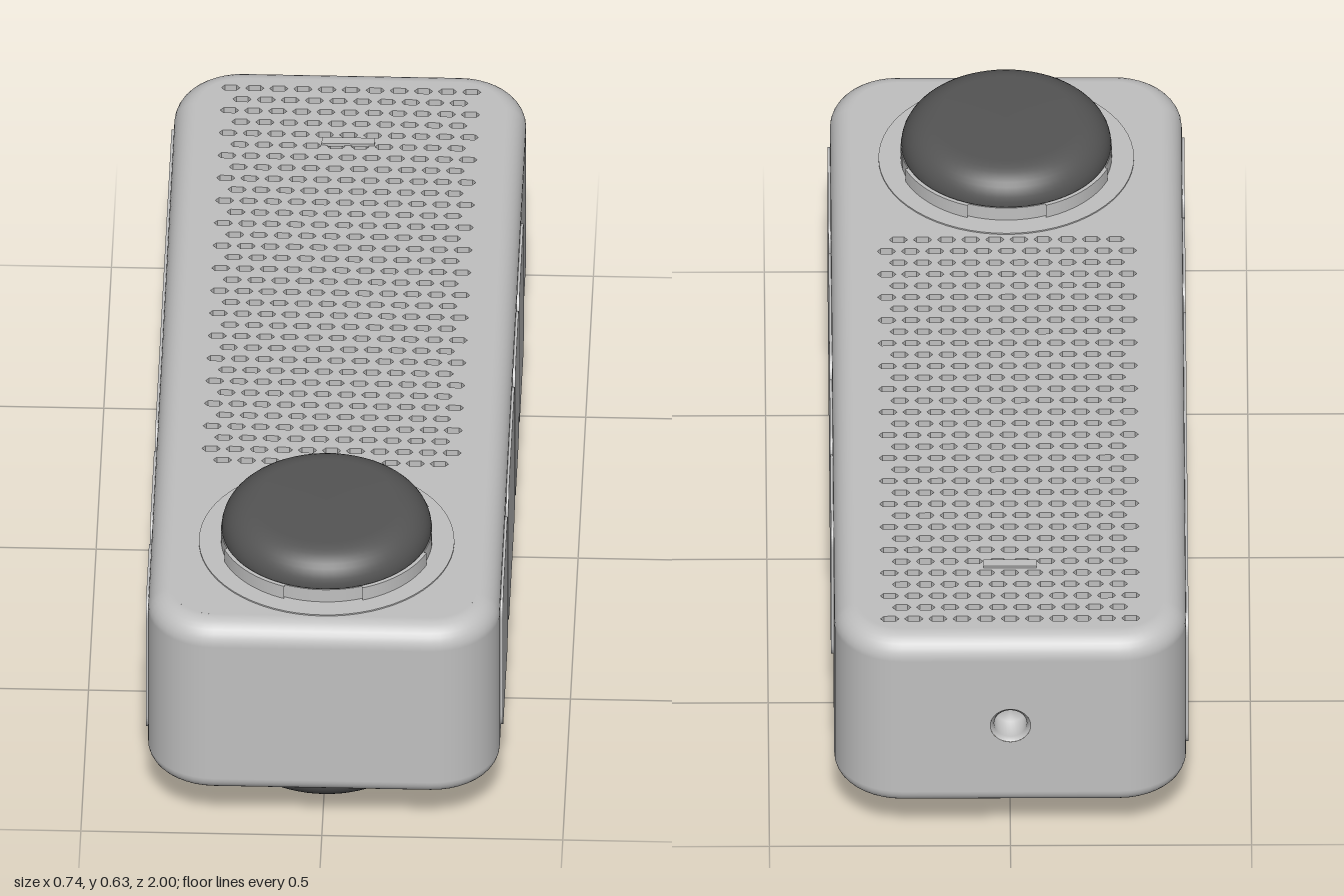
import * as THREE from 'three';

const W = 0.365, L = 1, R = 0.14;       // half width, half length, corner radius
const Y0 = 0.105, Y1 = 0.525;           // body bottom and top
const F0 = 0.035, F1 = 0.05;            // bottom and top edge fillets
const KNOB_Z = 0.685;

const mats = {
  shell: new THREE.MeshStandardMaterial({ name: 'shell grey', color: 0xc0c0c0 }),
  rubber: new THREE.MeshStandardMaterial({ name: 'dark rubber', color: 0x545454 }),
};

function add(group, name, geometry, material, x = 0, y = 0, z = 0) {
  const mesh = new THREE.Mesh(geometry, material);
  mesh.name = name;
  mesh.position.set(x, y, z);
  group.add(mesh);
  return mesh;
}

// Rounded rectangle centred on the origin
function roundRect(w, h, r) {
  const s = new THREE.Shape();
  s.absarc(w - r, h - r, r, 0, Math.PI / 2);
  s.absarc(-w + r, h - r, r, Math.PI / 2, Math.PI);
  s.absarc(-w + r, -h + r, r, Math.PI, Math.PI * 1.5);
  s.absarc(w - r, -h + r, r, Math.PI * 1.5, Math.PI * 2);
  s.closePath();
  return s;
}

// Body wall: rounded rectangle loops with filleted edges, open at the back flat for the socket
function wallGeometry() {
  const rings = [], N = 10, K = 8;
  for (let i = 0; i <= K; i++) {
    const a = -Math.PI / 2 + (i / K) * Math.PI / 2;
    rings.push([F0 * (1 - Math.cos(a)), Y0 + F0 + F0 * Math.sin(a), a]);
  }
  for (let i = 0; i <= K; i++) {
    const a = (i / K) * Math.PI / 2;
    rings.push([F1 * (1 - Math.cos(a)), Y1 - F1 + F1 * Math.sin(a), a]);
  }
  const pos = [], nor = [], idx = [], M = 4 * (N + 1);
  for (const [inset, y, tilt] of rings) {
    for (let c = 0; c < 4; c++) for (let j = 0; j <= N; j++) {
      const a = (c + j / N) * Math.PI / 2;
      const sx = c === 0 || c === 3 ? 1 : -1, sz = c < 2 ? 1 : -1;
      const r = R - inset;
      pos.push(sx * (W - R) + r * Math.cos(a), y, sz * (L - R) + r * Math.sin(a));
      nor.push(Math.cos(a) * Math.cos(tilt), Math.sin(tilt), Math.sin(a) * Math.cos(tilt));
    }
  }
  const backStart = 2 * (N + 1) + N;
  for (let i = 0; i < rings.length - 1; i++) for (let j = 0; j < M; j++) {
    if (i === K && j === backStart) continue;
    const a = i * M + j, b = i * M + (j + 1) % M, c = a + M, d = b + M;
    idx.push(a, c, b, b, c, d);
  }
  const g = new THREE.BufferGeometry();
  g.setAttribute('position', new THREE.Float32BufferAttribute(pos, 3));
  g.setAttribute('normal', new THREE.Float32BufferAttribute(nor, 3));
  g.setIndex(idx);
  return g;
}

// Top face pierced by staggered grille slots
function topGeometry() {
  const s = roundRect(W - F1, L - F1, R - F1);
  const rows = 34, pitchX = 0.05, pitchZ = 0.04, hx = 0.019, hz = 0.009;
  for (let i = 0; i < rows; i++) {
    const odd = i % 2, cols = odd ? 10 : 11;
    for (let j = 0; j < cols; j++) {
      const x = (j - (cols - 1) / 2) * pitchX, y = 0.917 - i * pitchZ;
      const hole = new THREE.Path();
      hole.moveTo(x - hx, y);
      hole.lineTo(x - hx + 0.007, y + hz);
      hole.lineTo(x + hx - 0.007, y + hz);
      hole.lineTo(x + hx, y);
      hole.lineTo(x + hx - 0.007, y - hz);
      hole.lineTo(x - hx + 0.007, y - hz);
      hole.closePath();
      s.holes.push(hole);
    }
  }
  const g = new THREE.ExtrudeGeometry(s, { depth: 0.02, bevelEnabled: false, curveSegments: 10 });
  return g.translate(0, 0, -0.02).rotateX(-Math.PI / 2);
}

// Rounded cap with collar and base ring, standing on y = 0
function makeKnob(name) {
  const g = new THREE.Group();
  g.name = name;
  add(g, 'baseRing', new THREE.CylinderGeometry(0.265, 0.265, 0.004, 64), mats.shell, 0, 0.001);
  add(g, 'collar', new THREE.CylinderGeometry(0.219, 0.219, 0.034, 64), mats.shell, 0, 0.017);
  // Collar is stepped into wider segments
  for (let i = 0; i < 4; i++) {
    const start = i * Math.PI / 2 + 0.37;
    add(g, 'collarSegment', new THREE.CylinderGeometry(0.225, 0.225, 0.034, 20, 1, false,
      start, Math.PI / 2 - 0.74), mats.shell, 0, 0.0172);
  }
  const pts = [new THREE.Vector2(0.2, 0.03), new THREE.Vector2(0.217, 0.034)];
  for (let i = 0; i <= 10; i++) {
    const a = (i / 10) * Math.PI / 2;
    pts.push(new THREE.Vector2(0.145 + 0.073 * Math.cos(a), 0.037 + 0.066 * Math.sin(a)));
  }
  pts.push(new THREE.Vector2(0, 0.105));
  add(g, 'cap', new THREE.LatheGeometry(pts, 64), mats.rubber);
  return g;
}

export function createModel() {
  const model = new THREE.Group();
  model.name = 'speakerUnit';

  // Shell
  const body = new THREE.Group();
  body.name = 'body';
  model.add(body);
  add(body, 'wall', wallGeometry(), mats.shell);
  add(body, 'grilleTop', topGeometry(), mats.shell, 0, Y1);
  add(body, 'grilleFloor', new THREE.PlaneGeometry(0.58, 1.4).rotateX(-Math.PI / 2), mats.shell, 0, Y1 - 0.019, -0.26);
  add(body, 'underside', new THREE.ShapeGeometry(roundRect(W - F0, L - F0, R - F0), 10).rotateX(Math.PI / 2),
    mats.shell, 0, Y0);

  // Back face with a recessed round socket
  const sy = 0.31, bx = W - R;
  const back = new THREE.Shape([[-bx, Y0 + F0 - sy], [bx, Y0 + F0 - sy], [bx, Y1 - F1 - sy], [-bx, Y1 - F1 - sy]]
    .map(p => new THREE.Vector2(...p)));
  const hole = new THREE.Path();
  hole.absarc(0, 0, 0.042, 0, Math.PI * 2, true);
  back.holes.push(hole);
  add(body, 'backFace', new THREE.ShapeGeometry(back, 24).rotateY(Math.PI), mats.shell, 0, sy, -L);
  const socket = [[0, 0.06], [0.034, 0.06], [0.034, 0.008], [0.042, 0]].map(p => new THREE.Vector2(...p));
  const socketMesh = add(body, 'socket', new THREE.LatheGeometry(socket, 32).rotateX(Math.PI / 2), mats.shell, 0, sy, -L);
  socketMesh.material = mats.shell;
  // Inner faces look outward through the hole
  const order = socketMesh.geometry.index.array;
  const n = socketMesh.geometry.attributes.normal;
  const p = socketMesh.geometry.attributes.position;
  const v = [0, 1, 2].map(i => new THREE.Vector3().fromBufferAttribute(p, order[i]));
  const faceZ = new THREE.Triangle(...v).getNormal(new THREE.Vector3()).z;
  if (faceZ > 0) for (let i = 0; i < order.length; i += 3) [order[i], order[i + 1]] = [order[i + 1], order[i]];
  if (n.getZ(0) > 0) for (let i = 0; i < n.array.length; i++) n.array[i] *= -1;

  // Shallow raised panels along both sides: [side, z from, z to]
  const panels = [[1, 0.49, 0.82], [1, 0.03, 0.45], [1, -0.24, 0.01], [1, -0.55, -0.25],
    [-1, 0.61, 0.85], [-1, 0.28, 0.57], [-1, -0.86, 0.24]];
  for (const [side, z0, z1] of panels) {
    const g = new THREE.ExtrudeGeometry(roundRect((z1 - z0) / 2, 0.168, 0.045),
      { depth: 0.008, bevelEnabled: false, curveSegments: 6 });
    g.translate(0, 0, -0.003).rotateY(side * Math.PI / 2);
    add(body, 'sidePanel', g, mats.shell, side * W, 0.31, (z0 + z1) / 2);
  }

  // Plain plate on the grille
  add(body, 'grillePlate', new THREE.BoxGeometry(0.11, 0.008, 0.022), mats.shell, 0, Y1 + 0.001, -0.73);

  // Grip pad and small studs underneath
  add(body, 'gripPad', new THREE.BoxGeometry(0.62, 0.006, 1.04), mats.rubber, 0, Y0, -0.19);
  for (const x of [-0.18, 0.18]) {
    add(body, 'stud', new THREE.CylinderGeometry(0.022, 0.022, 0.006, 24), mats.shell, x, Y0, -0.85);
  }

  // Matching knobs above and below
  const top = makeKnob('topKnob');
  top.position.set(0, Y1, KNOB_Z);
  const bottom = makeKnob('bottomKnob');
  bottom.position.set(0, Y0, KNOB_Z);
  bottom.rotation.z = Math.PI;
  model.add(top, bottom);
  return model;
}
